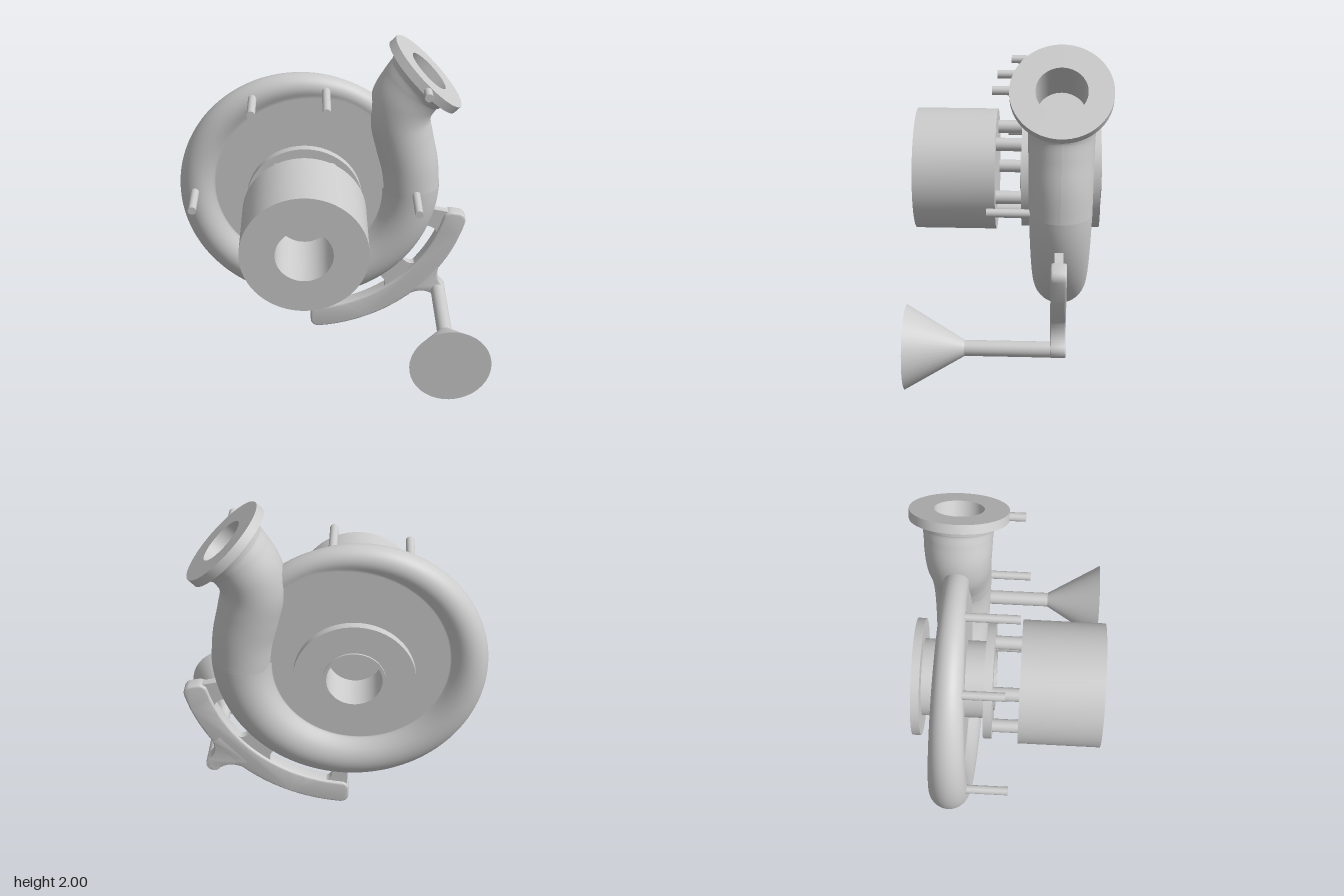
import * as THREE from 'three';
import { toCreasedNormals } from 'three/addons/utils/BufferGeometryUtils.js';

const CX = -0.17, CY = 1.05, CZ = -0.3;   // pump axis
const RING = 0.66, PLATE = 0.07;          // volute centreline radius, plate half thickness
const mat = new THREE.MeshStandardMaterial({ color: 0xcccccc, side: THREE.DoubleSide });
const rad = THREE.MathUtils.degToRad;

function add(parent, name, geometry, x = 0, y = 0, z = 0) {
  const m = new THREE.Mesh(geometry, mat);
  m.name = name;
  m.position.set(x, y, z);
  parent.add(m);
  return m;
}

// Grid surface from a point rule f(u, v), u and v in 0..1
function loft(f, nu, nv) {
  const pos = [], idx = [];
  for (let i = 0; i <= nu; i++) for (let j = 0; j <= nv; j++) pos.push(...f(i / nu, j / nv));
  for (let i = 0; i < nu; i++) for (let j = 0; j < nv; j++) {
    const a = i * (nv + 1) + j, b = a + nv + 1;
    idx.push(a, b, a + 1, b, b + 1, a + 1);
  }
  const g = new THREE.BufferGeometry();
  g.setAttribute('position', new THREE.Float32BufferAttribute(pos, 3));
  g.setIndex(idx);
  g.computeVertexNormals();
  return g;
}

// Lathe with sharp edges, its axis turned to +z
function turned(points, segments = 64) {
  const g = new THREE.LatheGeometry(points.map(p => new THREE.Vector2(...p)), segments);
  return toCreasedNormals(g.rotateX(Math.PI / 2), 0.6);
}

// Cylinder along z from z0 to z1
function rod(parent, name, x, y, z0, z1, r, r1 = r) {
  const g = new THREE.CylinderGeometry(r1, r, z1 - z0, 40).rotateX(Math.PI / 2);
  return add(parent, name, g, x, y, (z0 + z1) / 2);
}

// Rounded ring sector around the pump axis, angles in degrees
function sector(r0, r1, a0, a1, c) {
  const pts = [], mid = (r0 + r1) / 2;
  const A0 = rad(a0), A1 = rad(a1), ca = c / mid;
  const put = (r, a) => pts.push(new THREE.Vector2(Math.cos(a) * r, Math.sin(a) * r));
  const corner = (r, a, start) => {
    for (let k = 0; k <= 6; k++) {
      const t = start + k / 6 * Math.PI / 2;
      put(r + c * Math.cos(t), a + ca * Math.sin(t));
    }
  };
  const side = (r, from, to) => {
    for (let k = 1; k < 24; k++) put(r, from + (to - from) * k / 24);
  };
  corner(r1 - c, A1 - ca, 0);
  side(r0, A1 - ca, A0 + ca);
  // inner edge runs between the two inner corners
  const inner = pts.splice(7);
  corner(r0 + c, A1 - ca, Math.PI / 2);
  pts.push(...inner);
  corner(r0 + c, A0 + ca, Math.PI);
  corner(r1 - c, A0 + ca, Math.PI * 1.5);
  side(r1, A0 + ca, A1 - ca);
  return pts;
}

function slab(shape, depth, bevel) {
  const g = new THREE.ExtrudeGeometry(shape, {
    depth: depth - 2 * bevel, bevelEnabled: bevel > 0, bevelThickness: bevel,
    bevelSize: bevel, bevelOffset: -bevel, bevelSegments: 3, curveSegments: 20
  });
  g.translate(0, 0, bevel - depth / 2);
  return toCreasedNormals(g, 0.6);
}

// Volute casing: a tube that grows around the axis, blended into flat side plates
function casing() {
  const smax = (a, b, k) => {
    const h = Math.max(k - Math.abs(a - b), 0) / k;
    return Math.max(a, b) + h * h * k / 4;
  };
  return loft((u, v) => {
    const th = u * Math.PI * 2, s = v * 2 - 1, t = Math.abs(s);
    const r = Math.max(0.072, 0.0467 + 0.1333 * u);
    const phi = Math.min(t / 0.8, 1) * Math.PI;
    let rho = RING + r * Math.cos(phi), h = r * Math.sin(phi);
    if (phi > Math.PI / 2) h = smax(h, PLATE, Math.max(0.001, Math.min(0.05, r - PLATE)));
    if (t > 0.8) {
      rho = THREE.MathUtils.lerp(rho, 0.16, (t - 0.8) / 0.2);
      h = PLATE;
    }
    return [CX + rho * Math.cos(th), CY + rho * Math.sin(th), CZ + Math.sign(s) * h];
  }, 144, 80);
}

// Outlet pipe: [x, y, radius] stations swept in the casing plane
function outletPipe() {
  const st = [[0.49, 1.03, 0.18], [0.472, 1.2, 0.183], [0.435, 1.36, 0.186], [0.41, 1.5, 0.19],
    [0.43, 1.61, 0.195], [0.485, 1.7, 0.2], [0.515, 1.733, 0.211], [0.545, 1.763, 0.24]];
  const path = new THREE.CatmullRomCurve3(st.map(p => new THREE.Vector3(p[0], p[1], p[2])));
  return loft((u, v) => {
    const p = path.getPoint(u), t = path.getTangent(u).setZ(0).normalize();
    const a = v * Math.PI * 2, c = Math.cos(a) * p.z;
    return [p.x + t.y * c, p.y - t.x * c, CZ + Math.sin(a) * p.z];
  }, 64, 56);
}

export function createModel() {
  const model = new THREE.Group();
  model.name = 'centrifugalPump';

  add(model, 'voluteCasing', casing());
  add(model, 'outletPipe', outletPipe());

  // Outlet flange with its bore, tilted 45 degrees
  const outlet = add(model, 'outletFlange', turned([[0.2, -0.055], [0.285, -0.055], [0.285, 0],
    [0.143, 0], [0.143, -0.3], [0, -0.3]]), 0.58, 1.8, CZ + 0.003);
  outlet.quaternion.setFromUnitVectors(new THREE.Vector3(0, 0, 1), new THREE.Vector3(1, 1, 0).normalize());

  // Hub neck, flange and raised lip on both faces
  for (const side of [1, -1]) {
    const hub = add(model, side > 0 ? 'frontHub' : 'backHub', turned([[0.23, 0.04], [0.23, 0.185],
      [0.35, 0.185], [0.35, 0.235], [0.18, 0.235], [0.18, 0.245], [0.16, 0.245], [0.16, 0], [0, 0]]), CX, CY, CZ);
    if (side < 0) hub.rotation.y = Math.PI;
  }

  // Motor drum with blind bore, carried on five posts
  add(model, 'motorDrum', turned([[0, 0], [0.37, 0], [0.37, 0.49], [0.167, 0.49], [0.167, 0.05], [0, 0.05]]), CX, CY, 0.09);
  for (let i = 0; i < 5; i++) {
    const a = rad(-90 + i * 72);
    rod(model, 'motorPost', CX + 0.27 * Math.cos(a), CY + 0.27 * Math.sin(a), -0.08, 0.1, 0.04);
  }

  // Slim pins on the front: x, y, start z, end z
  for (const [x, y, z0, z1] of [[-0.475, 1.66, -0.25, 0.015], [-0.035, 1.7, -0.25, 0.08],
    [0.55, 1.79, -0.06, 0.08], [-0.845, 1.05, -0.25, 0.05], [0.515, 1.05, -0.15, 0.12]])
    rod(model, 'pin', x, y, z0, z1, 0.025);

  // Curved foot: thick rim, thin web with two rounded openings
  const foot = new THREE.Group();
  foot.name = 'foot';
  foot.position.set(CX, CY, CZ + 0.005);
  model.add(foot);
  add(foot, 'footRim', slab(new THREE.Shape(sector(0.905, 1.05, -88.3, -12, 0.05)), 0.09, 0.012));
  const web = new THREE.Shape(sector(0.74, 0.96, -87.5, -12.5, 0.02));
  for (const [a0, a1] of [[-81, -54], [-41, -21]])
    web.holes.push(new THREE.Path(sector(0.77, 0.915, a0, a1, 0.055).reverse()));
  add(foot, 'footWeb', slab(web, 0.05, 0));

  // Flared arm from the rim to the stand rod
  const arm = new THREE.Shape();
  arm.moveTo(0.98, -0.13);
  arm.lineTo(1.04, -0.13);
  arm.quadraticCurveTo(1.08, -0.047, 1.158, -0.047);
  arm.absarc(1.158, 0, 0.047, -Math.PI / 2, Math.PI / 2);
  arm.quadraticCurveTo(1.08, 0.047, 1.04, 0.13);
  arm.lineTo(0.98, 0.13);
  add(foot, 'footArm', slab(arm, 0.09, 0.008)).rotation.z = rad(-42);

  // Stand rod with conical pad
  rod(model, 'standRod', 0.69, 0.275, -0.34, 0.25, 0.046);
  rod(model, 'standCone', 0.69, 0.275, 0.24, 0.58, 0.046, 0.245);
  return model;
}
